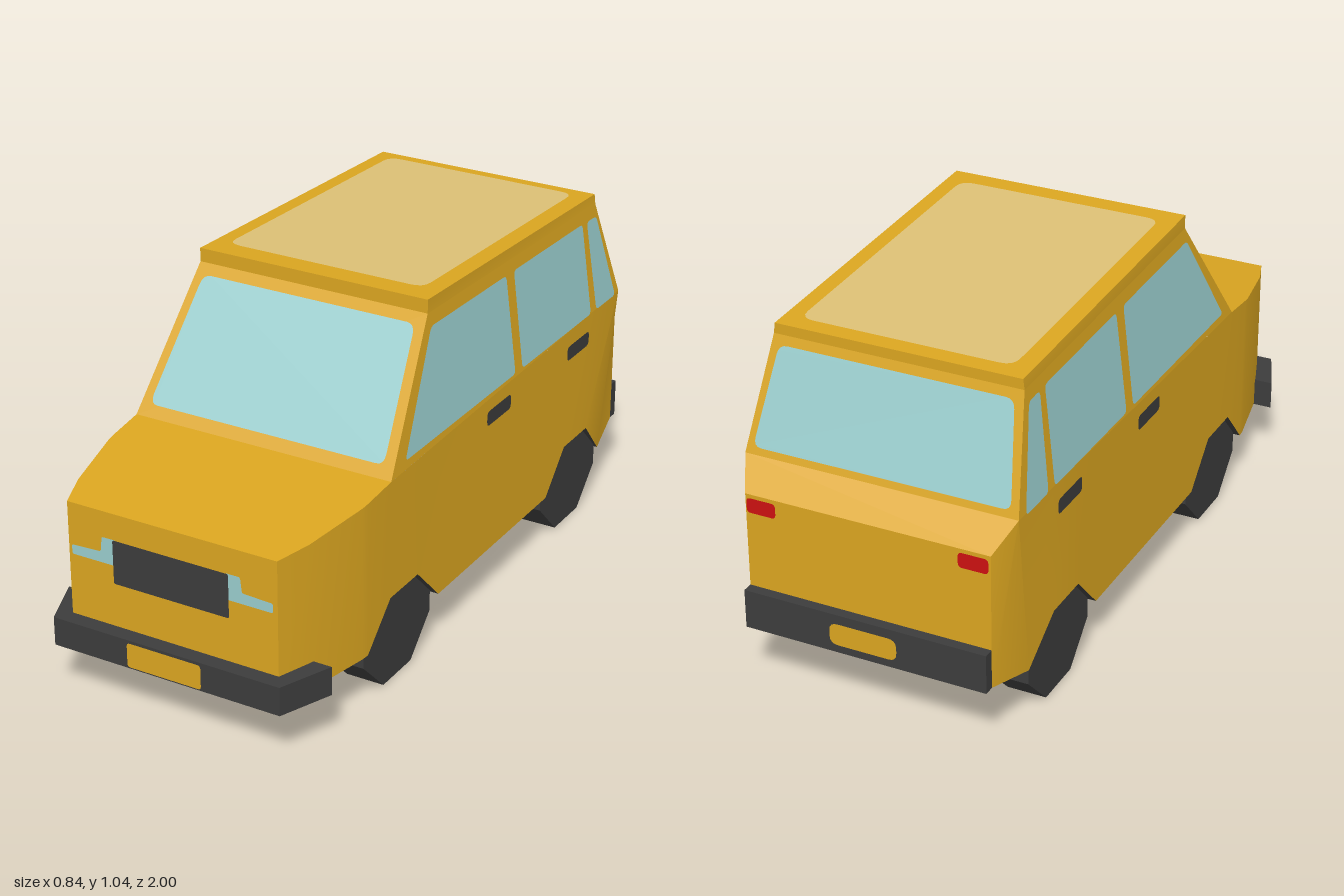
import * as THREE from 'three';
import { toCreasedNormals } from 'three/addons/utils/BufferGeometryUtils.js';

const material = (name, color) => {
  const m = new THREE.MeshStandardMaterial({ color });
  m.name = name;
  return m;
};

// Flat-sided geometry from four-cornered faces, counter-clockwise from outside
function quads(faces) {
  const pos = [];
  for (const [a, b, c, d] of faces) pos.push(...a, ...b, ...c, ...a, ...c, ...d);
  const geo = new THREE.BufferGeometry();
  geo.setAttribute('position', new THREE.Float32BufferAttribute(pos, 3));
  return toCreasedNormals(geo, 0.35);
}

const flip = ([x, y, z]) => [-x, y, z];
const mirrored = (face) => face.map(flip).reverse();

// Polygon with rounded corners
function roundedShape(pts, r) {
  const shape = new THREE.Shape();
  const v = pts.map((p) => new THREE.Vector2(...p));
  v.forEach((p, i) => {
    const toward = (q) => p.clone().add(q.clone().sub(p).setLength(r));
    const a = toward(v[(i + v.length - 1) % v.length]);
    const b = toward(v[(i + 1) % v.length]);
    if (i) shape.lineTo(a.x, a.y);
    else shape.moveTo(a.x, a.y);
    shape.quadraticCurveTo(p.x, p.y, b.x, b.y);
  });
  shape.closePath();
  return shape;
}

// The cabin side leans inwards with height
const sideX = (y) => 0.405 - 0.045 * Math.max(0, y - 0.63) / 0.37;

export function createModel() {
  const gold = material('goldPaint', 0xdaa520);
  const glass = material('paleGlass', 0x99cccc);
  const dark = material('darkTrim', 0x3c3c3c);
  const beige = material('roofBeige', 0xdcc075);
  const red = material('tailRed', 0xcc1010);

  const car = new THREE.Group();
  car.name = 'car';
  const add = (name, geo, mat) => {
    const mesh = new THREE.Mesh(geo, mat);
    mesh.name = name;
    car.add(mesh);
    return mesh;
  };

  // Lower body stations, front to back: bottom z, y, x then top z, y, x
  const stations = [
    [0.95, 0.16, 0.325, 0.95, 0.58, 0.325],
    [0.85, 0.16, 0.36, 0.85, 0.591, 0.36],
    [0.65, 0.16, 0.4, 0.65, 0.614, 0.4],
    [0.625, 0.16, 0.402, 0.625, 0.617, 0.402],
    [0.51, 0.28, 0.405, 0.51, 0.63, 0.405],
    [0.36, 0.28, 0.405, 0.36, 0.633, sideX(0.633)],
    [0.24, 0.16, 0.405, 0.24, 0.636, sideX(0.636)],
    [-0.425, 0.16, 0.405, -0.425, 0.65, sideX(0.65)],
    [-0.54, 0.28, 0.405, -0.54, 0.6525, sideX(0.6525)],
    [-0.69, 0.28, 0.405, -0.69, 0.656, sideX(0.656)],
    [-0.81, 0.16, 0.39, -0.89, 0.66, sideX(0.66)],
    [-0.965, 0.19, 0.36, -0.965, 0.585, 0.36],
  ];
  const low = stations.map(([z, y, x]) => [x, y, z]);
  const top = stations.map((s) => [s[5], s[4], s[3]]);
  const last = stations.length - 1;
  const shell = [], floor = [];
  for (let i = 0; i < last; i++) {
    const side = [low[i], low[i + 1], top[i + 1], top[i]];
    shell.push(side, mirrored(side));
    floor.push([low[i], flip(low[i]), flip(low[i + 1]), low[i + 1]]);
    // Hood, and the sloping ledge at the tail
    if (i < 4 || i === last - 1) shell.push([top[i], top[i + 1], flip(top[i + 1]), flip(top[i])]);
  }
  shell.push([flip(low[0]), low[0], top[0], flip(top[0])]);
  shell.push([low[last], flip(low[last]), flip(top[last]), top[last]]);
  add('lowerBody', quads(shell), gold);
  add('underbody', quads(floor), dark);

  // Cabin and roof cap
  const fb = [0.405, 0.63, 0.51], ft = [0.36, 1.0, 0.24];
  const rb = [sideX(0.66), 0.66, -0.89], rt = [sideX(0.97), 0.97, -0.78];
  const fr = [0.36, 1.04, 0.24], rr = [0.36, 1.0, -0.78];
  const cabinSide = [fb, rb, rt, ft], capSide = [ft, rt, rr, fr];
  add('cabin', quads([
    cabinSide, mirrored(cabinSide),
    [flip(fb), fb, ft, flip(ft)],
    [rb, flip(rb), flip(rt), rt],
  ]), gold);
  add('roof', quads([
    capSide, mirrored(capSide),
    [flip(ft), ft, fr, flip(fr)],
    [rt, flip(rt), flip(rr), rr],
    [fr, rr, flip(rr), flip(fr)],
  ]), gold);

  // Thin painted face: a flat outline mapped onto a body plane, lifted outwards
  function plate(name, mat, pts, r, map, outward) {
    const geo = new THREE.ShapeGeometry(roundedShape(pts, r), 4);
    const p = geo.attributes.position;
    for (let i = 0; i < p.count; i++) p.setXYZ(i, ...map(p.getX(i), p.getY(i)));
    geo.computeVertexNormals();
    const n = new THREE.Vector3().fromBufferAttribute(geo.attributes.normal, 0);
    if (n.dot(new THREE.Vector3(...outward)) < 0) {
      geo.index.array.reverse();
      geo.computeVertexNormals();
      n.negate();
    }
    geo.translate(n.x * 0.004, n.y * 0.004, n.z * 0.004);
    return add(name, geo, mat);
  }
  const rect = (x0, x1, y0, y1) => [[x0, y0], [x1, y0], [x1, y1], [x0, y1]];

  // Windscreen, rear window and roof panel
  plate('windscreen', glass, [[-0.372, 0.66], [0.372, 0.66], [0.335, 0.972], [-0.335, 0.972]], 0.025,
    (x, y) => [x, y, 0.51 - 0.27 * (y - 0.63) / 0.37], [0, 0, 1]);
  plate('rearWindow', glass, [[-0.378, 0.68], [0.378, 0.68], [0.342, 0.945], [-0.342, 0.945]], 0.025,
    (x, y) => [x, y, -0.89 + 0.11 * (y - 0.66) / 0.31], [0, 0, -1]);
  plate('roofPanel', beige, rect(-0.31, 0.31, -0.735, 0.175), 0.04,
    (x, z) => [x, 1.04 - 0.04 * (0.24 - z) / 1.02, z], [0, 1, 0]);

  // Parts repeated on both sides
  const sideWindows = {
    frontWindow: [[0.435, 0.658], [0.235, 0.963], [-0.197, 0.952], [-0.2, 0.658]],
    rearSideWindow: [[-0.243, 0.658], [-0.243, 0.951], [-0.68, 0.94], [-0.69, 0.658]],
    quarterWindow: [[-0.727, 0.658], [-0.709, 0.937], [-0.772, 0.935], [-0.857, 0.658]],
  };
  const wheelGeo = new THREE.CylinderGeometry(0.198, 0.198, 0.115, 8)
    .rotateY(Math.PI / 8).rotateZ(Math.PI / 2).toNonIndexed();
  wheelGeo.computeVertexNormals();
  for (const s of [1, -1]) {
    const tag = s > 0 ? 'Left' : 'Right';
    for (const [name, pts] of Object.entries(sideWindows)) {
      plate(name + tag, glass, pts, 0.016, (z, y) => [s * sideX(y), y, z], [s, 0, 0]);
    }
    for (const [name, z] of [['front', -0.097], ['rear', -0.603]]) {
      plate(name + 'DoorHandle' + tag, dark, rect(z - 0.072, z + 0.072, 0.565, 0.61), 0.015,
        (a, y) => [s * 0.405, y, a], [s, 0, 0]);
    }
    for (const [name, z] of [['front', 0.433], ['rear', -0.617]]) {
      add(name + 'Wheel' + tag, wheelGeo, dark).position.set(s * 0.326, 0.183, z);
    }
    // Stepped headlight beside the grille
    plate('headlight' + tag, glass,
      [[0.17, 0.428], [0.313, 0.428], [0.313, 0.456], [0.22, 0.46], [0.215, 0.505], [0.17, 0.505]], 0.006,
      (x, y) => [s * x, y, 0.95], [0, 0, 1]);
    plate('tailLight' + tag, red, rect(0.268, 0.355, 0.532, 0.576), 0.012,
      (x, y) => [s * x, y, -0.965], [0, 0, -1]);
  }
  plate('grille', dark, rect(-0.18, 0.18, 0.375, 0.505), 0.006, (x, y) => [x, y, 0.952], [0, 0, 1]);

  // Wrap-around front bumper, straight rear bumper and their number plates
  const wrap = new THREE.Shape([
    [-0.355, 0.996], [-0.418, 0.84], [-0.34, 0.84], [-0.3, 0.93],
    [0.3, 0.93], [0.34, 0.84], [0.418, 0.84], [0.355, 0.996],
  ].map((p) => new THREE.Vector2(...p)));
  const frontBumper = new THREE.ExtrudeGeometry(wrap, { depth: 0.085, bevelEnabled: false });
  add('frontBumper', frontBumper.rotateX(Math.PI / 2).translate(0, 0.242, 0), dark);
  add('rearBumper', new THREE.BoxGeometry(0.72, 0.115, 0.05).translate(0, 0.2475, -0.971), dark);
  plate('frontPlate', gold, rect(-0.116, 0.116, 0.163, 0.236), 0.01, (x, y) => [x, y, 0.996], [0, 0, 1]);
  plate('rearPlate', gold, rect(-0.1, 0.1, 0.215, 0.28), 0.025, (x, y) => [x, y, -0.996], [0, 0, -1]);

  return car;
}
